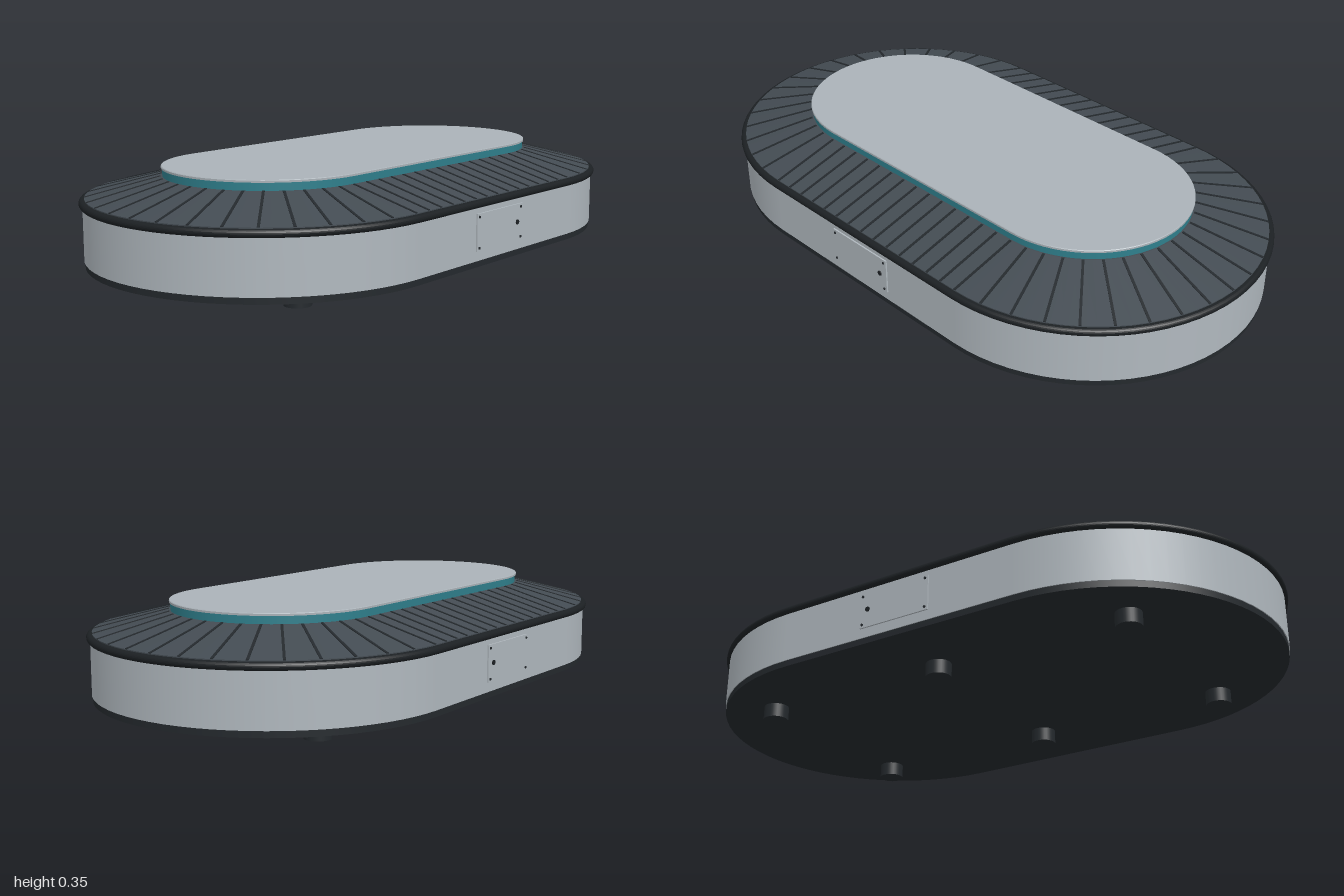
import * as THREE from 'three';
import { mergeGeometries } from 'three/addons/utils/BufferGeometryUtils.js';

const L = 0.416; // half length of the straight sides

const mat = (color) => new THREE.MeshStandardMaterial({ color });
const shell = mat(0xb0b8be), lidGrey = mat(0xaab2b8), teal = mat(0x2f7f8c);
const slate = mat(0x434b52), dark = mat(0x24292d), black = mat(0x1c2023);

// Stadium-shaped path: [angle, x shift], two half circles joined by straights
const PATH = [];
for (const s of [1, -1]) {
  for (let i = 0; i <= 36; i++) PATH.push([(s > 0 ? 0 : Math.PI) + (i / 36) * Math.PI, s * L]);
}
PATH.push([Math.PI * 2, L]);

// Sweep a [radius, height] profile round the stadium, with a sharp edge at each profile point
function sweep(profile) {
  const pos = [], nor = [], idx = [];
  for (let k = 0; k < profile.length - 1; k++) {
    const [r0, y0] = profile[k], [r1, y1] = profile[k + 1];
    const len = Math.hypot(r1 - r0, y1 - y0);
    const nr = (y1 - y0) / len, ny = (r0 - r1) / len;
    const base = pos.length / 3;
    PATH.forEach(([a, dx], i) => {
      const s = Math.sin(a), c = Math.cos(a);
      pos.push(r0 * s + dx, y0, r0 * c, r1 * s + dx, y1, r1 * c);
      nor.push(nr * s, ny, nr * c, nr * s, ny, nr * c);
      if (i < PATH.length - 1) {
        const p = base + i * 2;
        idx.push(p, p + 2, p + 1, p + 1, p + 2, p + 3);
      }
    });
  }
  const g = new THREE.BufferGeometry();
  g.setAttribute('position', new THREE.Float32BufferAttribute(pos, 3));
  g.setAttribute('normal', new THREE.Float32BufferAttribute(nor, 3));
  g.setIndex(idx);
  return g;
}

export function createModel() {
  const model = new THREE.Group();
  model.name = 'ovalPlatform';
  const add = (name, geometry, material, parent = model) => {
    const m = new THREE.Mesh(geometry, material);
    m.name = name;
    parent.add(m);
    return m;
  };

  // Stacked oval layers, bottom to top
  add('basePlate', sweep([[0, 0.046], [0.57, 0.046], [0.57, 0.068], [0.55, 0.068]]), dark);
  add('bodyWall', sweep([[0.55, 0.066], [0.573, 0.066], [0.573, 0.236]]), shell);
  const bead = [];
  for (let i = 0; i <= 10; i++) {
    const a = -Math.PI / 2 + (i / 10) * Math.PI;
    bead.push([0.572 + 0.012 * Math.cos(a), 0.242 + 0.012 * Math.sin(a)]);
  }
  add('rimBead', sweep([[0.555, 0.23], ...bead, [0.555, 0.254]]), black);
  add('slopedDeck', sweep([[0.567, 0.245], [0.567, 0.257], [0.335, 0.316], [0.32, 0.316]]), slate);
  add('glowBand', sweep([[0.331, 0.312], [0.331, 0.341]]), teal);
  add('topLid', sweep([[0.325, 0.34], [0.335, 0.34], [0.335, 0.346], [0.333, 0.348], [0, 0.348]]), lidGrey);

  // Dark seams dividing the sloped deck into slats
  const seams = [];
  const tilt = Math.atan2(0.059, 0.232);
  const seam = (angle, x) => {
    const g = new THREE.BoxGeometry(0.008, 0.006, 0.238);
    g.rotateX(tilt).translate(0, 0.2855, 0.451).rotateY(angle).translate(x, 0, 0);
    seams.push(g);
  };
  for (let i = 0; i <= 14; i++) {
    const x = -L + (i / 14) * 2 * L;
    seam(0, x);
    seam(Math.PI, x);
  }
  for (let i = 1; i < 18; i++) {
    seam((i / 18) * Math.PI, L);
    seam(Math.PI + (i / 18) * Math.PI, -L);
  }
  add('deckSeams', mergeGeometries(seams), dark);

  // Service hatches on front and back, with corner screws and a lock
  const screw = new THREE.CylinderGeometry(0.004, 0.004, 0.004, 12).rotateX(Math.PI / 2);
  const lock = new THREE.CylinderGeometry(0.008, 0.008, 0.004, 16).rotateX(Math.PI / 2);
  for (const s of [1, -1]) {
    const hatch = new THREE.Group();
    hatch.name = s > 0 ? 'frontHatch' : 'backHatch';
    add('hatchPlate', new THREE.BoxGeometry(0.25, 0.116, 0.008), shell, hatch).position.set(0, 0.155, s * 0.574);
    for (const x of [-0.115, 0.115]) {
      for (const y of [0.107, 0.203]) add('screw', screw, dark, hatch).position.set(x, y, s * 0.579);
    }
    add('lock', lock, black, hatch).position.set(0.096, 0.156, s * 0.579);
    model.add(hatch);
  }

  // Six round feet
  const foot = new THREE.CylinderGeometry(0.041, 0.041, 0.048, 32);
  for (const x of [-0.658, 0, 0.658]) {
    for (const z of [-0.33, 0.33]) add('foot', foot, dark).position.set(x, 0.024, z);
  }
  return model;
}
